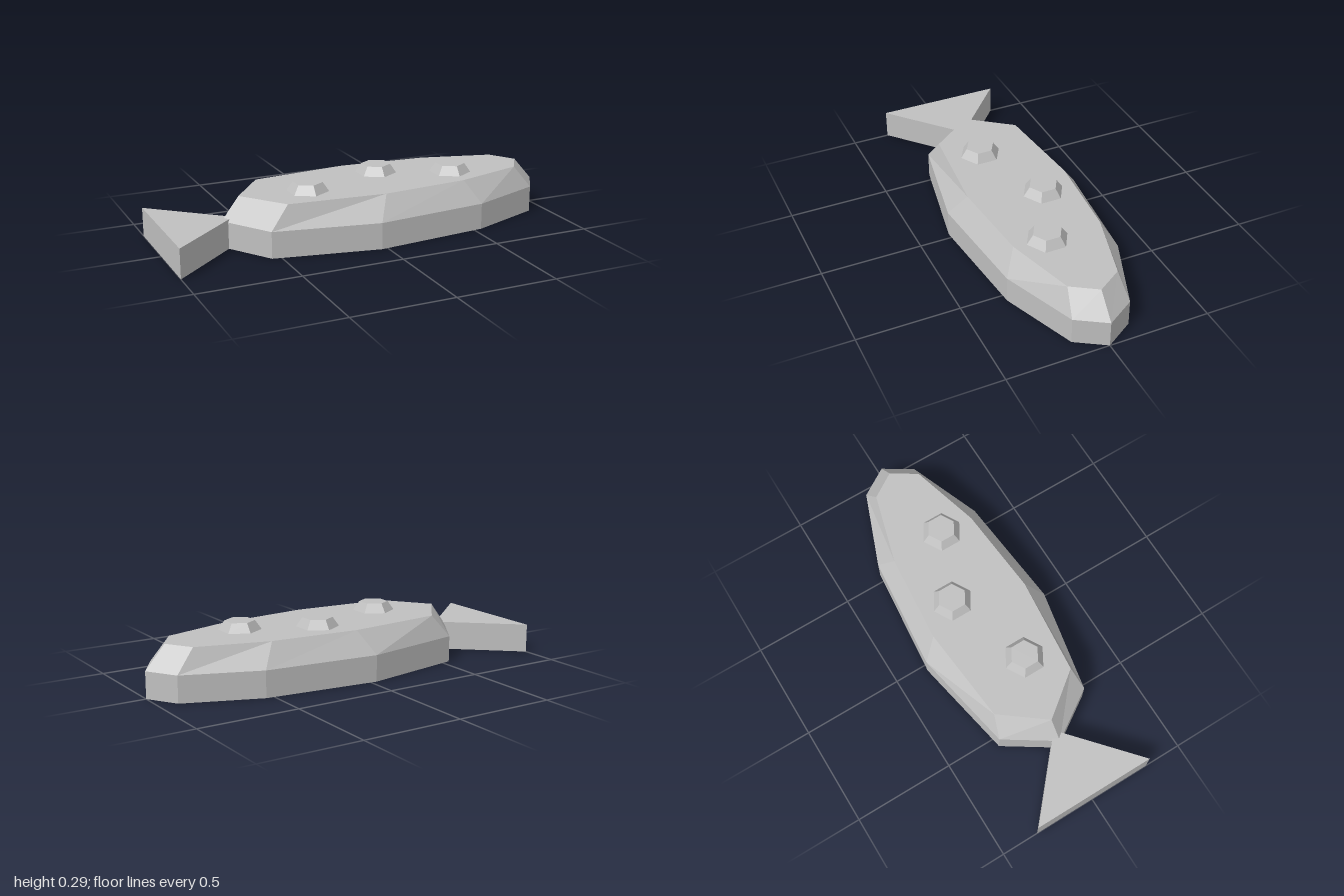
import * as THREE from 'three';

// Outlines of the body, from nose (+x) to tail root; mirrored across z = 0
const RIM = [[1, 0], [0.91, 0.143], [0.54, 0.285], [-0.03, 0.341], [-0.545, 0.242], [-0.703, 0]];
const DECK = [[0.9, 0], [0.82, 0.124], [0.47, 0.222], [0.03, 0.26], [-0.452, 0.215], [-0.617, 0]];

// Full loop at height y, running from the nose along +z and back along -z
function ring(half, y) {
  const back = half.slice(1, -1).reverse().map(([x, z]) => [x, -z]);
  return [...half, ...back].map(([x, z]) => [x, y, z]);
}

// Skin a stack of equal-length rings and cap both ends
function loft(rings) {
  const n = rings[0].length;
  const pos = [];
  for (let r = 0; r < rings.length - 1; r++) {
    for (let i = 0; i < n; i++) {
      const j = (i + 1) % n;
      const a = rings[r][i], b = rings[r][j], c = rings[r + 1][j], d = rings[r + 1][i];
      pos.push(...a, ...d, ...b, ...b, ...d, ...c);
    }
  }
  const low = rings[0], top = rings[rings.length - 1];
  for (let i = 1; i < n - 1; i++) {
    pos.push(...low[0], ...low[i], ...low[i + 1]);
    pos.push(...top[0], ...top[i + 1], ...top[i]);
  }
  const geo = new THREE.BufferGeometry();
  geo.setAttribute('position', new THREE.Float32BufferAttribute(pos, 3));
  geo.computeVertexNormals();
  return geo;
}

export function createModel() {
  const model = new THREE.Group();
  model.name = 'fishBrick';
  const grey = new THREE.MeshStandardMaterial({ color: 0xc0c0c0, flatShading: true });
  grey.name = 'grey';

  const add = (name, geo) => {
    const mesh = new THREE.Mesh(geo, grey);
    mesh.name = name;
    model.add(mesh);
    return mesh;
  };

  // Body: straight sides, then a bevel up to the flat deck
  add('body', loft([ring(RIM, 0), ring(RIM, 0.13), ring(DECK, 0.243)]));

  // Tail: triangular slab whose tip sinks into the body
  const tail = [[-0.645, 0], [-1, 0.312], [-1, -0.312]];
  add('tailFin', loft([0, 0.144].map((y) => tail.map(([x, z]) => [x, y, z]))));

  // Three tapered hexagonal studs on the deck
  const h = 0.044;
  for (const [x, z] of [[-0.288, 0.057], [0.14, -0.088], [0.483, 0.057]]) {
    add('stud', new THREE.CylinderGeometry(0.072, 0.103, h, 6)).position.set(x, 0.243 + h / 2, z);
  }
  return model;
}
